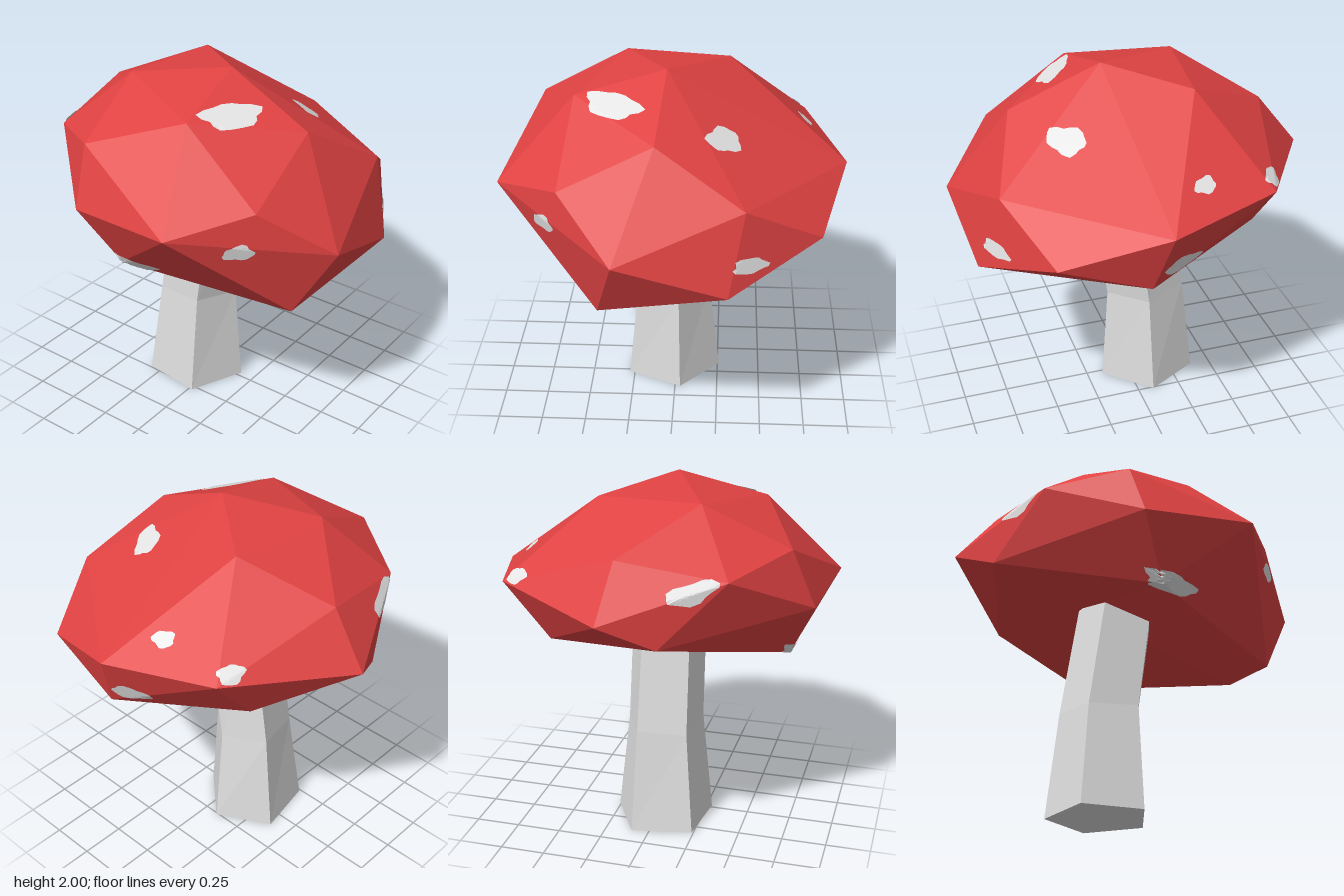
import * as THREE from 'three';
import { ConvexGeometry } from 'three/addons/geometries/ConvexGeometry.js';

const mat = (name, color, extra = {}) =>
  new THREE.MeshStandardMaterial({ name, color, flatShading: true, ...extra });
const V = (p) => new THREE.Vector3(...p);

function fromPoints(points) {
  const g = new THREE.BufferGeometry().setFromPoints(points);
  g.computeVertexNormals();
  return g;
}

// Faceted cap: a convex dome whose underside is pulled up to a shallow hollow
function capGeometry() {
  const dome = [
    [0.13, 2, 0.04], [0.63, 1.78, 0.08], [0.79, 1.51, -0.38], [-0.28, 1.93, -0.29],
    [-0.745, 1.73, -0.065], [-0.35, 1.94, 0.285], [0.2, 1.875, 0.525], [0.66, 1.535, 0.575],
    [-0.28, 1.715, 0.75],
    [0.045, 1.45, -0.935], [0.6, 1.28, -0.78], [0.96, 1.27, 0.28], [0.36, 1.44, 0.93],
    [-0.25, 1.4, 0.875], [-0.665, 1.635, 0.5], [-0.965, 1.45, -0.1], [-0.57, 1.51, -0.735],
  ].map(V);
  const rim = [
    [0.755, 0.905, 0.375], [0.91, 1.085, -0.3], [0.12, 1.115, -0.825],
    [-0.56, 1.21, -0.48], [-0.825, 1.305, 0.175], [-0.085, 1.075, 0.725],
  ].map(V);
  const hollow = new THREE.Vector3(-0.2, 1.26, -0.04);
  const hull = new ConvexGeometry([...dome, ...rim]).getAttribute('position');
  const onRim = (p) => rim.some((r) => r.distanceTo(p) < 1e-3);
  const out = [];
  for (let i = 0; i < hull.count; i += 3) {
    const tri = [0, 1, 2].map((k) => new THREE.Vector3().fromBufferAttribute(hull, i + k));
    if (!tri.every(onRim)) out.push(...tri);
  }
  rim.forEach((p, i) => out.push(hollow, rim[(i + 1) % rim.length], p));
  return fromPoints(out);
}

// Five-sided bent stem from three cross-sections
function stemGeometry() {
  const loops = [
    [[0.02, 0, 0.28], [0.16, 0, -0.03], [-0.09, 0, -0.26], [-0.385, 0, -0.1], [-0.32, 0, 0.24]],
    [[0.02, 0.6, 0.22], [0.12, 0.58, -0.02], [-0.08, 0.58, -0.195], [-0.32, 0.6, -0.08], [-0.26, 0.58, 0.19]],
    [[0.12, 1.3, 0.21], [0.225, 1.3, -0.02], [0.02, 1.3, -0.19], [-0.21, 1.3, -0.07], [-0.15, 1.3, 0.18]],
  ].map((l) => l.map(V));
  const base = new THREE.Vector3(-0.12, 0, 0.03);
  const out = [];
  for (let i = 0; i < 5; i++) {
    const j = (i + 1) % 5;
    for (let k = 0; k < 2; k++) {
      const a = loops[k], b = loops[k + 1];
      out.push(a[i], a[j], b[j], a[i], b[j], b[i]);
    }
    out.push(base, loops[0][j], loops[0][i]);
  }
  return fromPoints(out);
}

// Ragged spot laid onto the cap by casting rays along the local face normal
function spotGeometry(cap, { at, from, along, size }, seed) {
  const ray = new THREE.Raycaster();
  const cast = (p, n) => {
    ray.set(p.clone().addScaledVector(n, 0.4), n.clone().negate());
    return ray.intersectObject(cap)[0];
  };
  const dir = V(from).normalize();
  const hit = cast(V(at), dir);
  const centre = hit ? hit.point : V(at);
  const n = hit ? hit.face.normal.clone() : dir;
  const u = V(along).addScaledVector(n, -V(along).dot(n)).normalize();
  const v = n.clone().cross(u);
  const sides = 18, rings = 4;
  const point = (r, i) => {
    const t = ((i % sides) / sides) * Math.PI * 2;
    const k = (r / rings) * (1 + 0.1 * Math.sin(3 * t + seed) + 0.1 * Math.sin(5 * t + seed * 2.3));
    const p = centre.clone()
      .addScaledVector(u, Math.cos(t) * size[0] * k)
      .addScaledVector(v, Math.sin(t) * size[1] * k);
    const h = cast(p, n);
    return (h && h.point.distanceTo(p) < 0.15 ? h.point : p).addScaledVector(n, 0.007);
  };
  const out = [];
  for (let r = 0; r < rings; r++) {
    for (let i = 0; i < sides; i++) {
      const a = point(r, i), b = point(r + 1, i), c = point(r + 1, i + 1), d = point(r, i + 1);
      out.push(a, b, c);
      if (r) out.push(a, c, d);
    }
  }
  return fromPoints(out);
}

export function createModel() {
  const group = new THREE.Group();
  group.name = 'mushroom';
  const red = mat('cap red', 0xe04242);
  const grey = mat('stem pale grey', 0xdedede);
  const white = mat('spot white', 0xe4e4e4, { side: THREE.DoubleSide });
  const add = (name, geometry, material) => {
    const m = new THREE.Mesh(geometry, material);
    m.name = name;
    group.add(m);
    return m;
  };

  const cap = add('cap', capGeometry(), red);
  add('stem', stemGeometry(), grey);

  // Spots: position, side they are seen from, long direction, half sizes
  const spots = [
    { at: [0.32, 1.87, 0.31], from: [0.2, 1, 0.2], along: [0.1, 0, -0.16], size: [0.165, 0.085] },
    { at: [0.43, 1.79, -0.28], from: [0.4, 1, -0.3], along: [0.1, 0, 0.12], size: [0.11, 0.08] },
    { at: [0.61, 1.34, 0.65], from: [0.7, 0, 0.7], along: [1, 0, -1], size: [0.08, 0.045] },
    { at: [0.85, 1.24, -0.41], from: [1, 0.2, -0.2], along: [0, 0, 1], size: [0.1, 0.042] },
    { at: [-0.73, 1.59, 0.33], from: [-1, 0.4, 0.3], along: [0.1, 0.1, 0.26], size: [0.14, 0.05] },
    { at: [-0.185, 1.65, -0.71], from: [0, 1, 0], along: [1, 0, -0.5], size: [0.063, 0.045] },
    { at: [-0.58, 1.57, -0.645], from: [0, 1, 0], along: [0.4, 0, -1], size: [0.07, 0.05] },
    { at: [-0.04, 1.245, -0.82], from: [0, -0.3, -1], along: [1, 0, 0], size: [0.12, 0.055] },
    { at: [-0.02, 1.09, 0.72], from: [0, -0.2, 1], along: [1, -0.2, 0], size: [0.15, 0.055] },
    { at: [0.02, 1.18, -0.34], from: [0, -1, 0], along: [1, 0, 0], size: [0.05, 0.04] },
  ];
  spots.forEach((s, i) => add('spot' + (i + 1), spotGeometry(cap, s, i * 1.7), white));
  return group;
}
